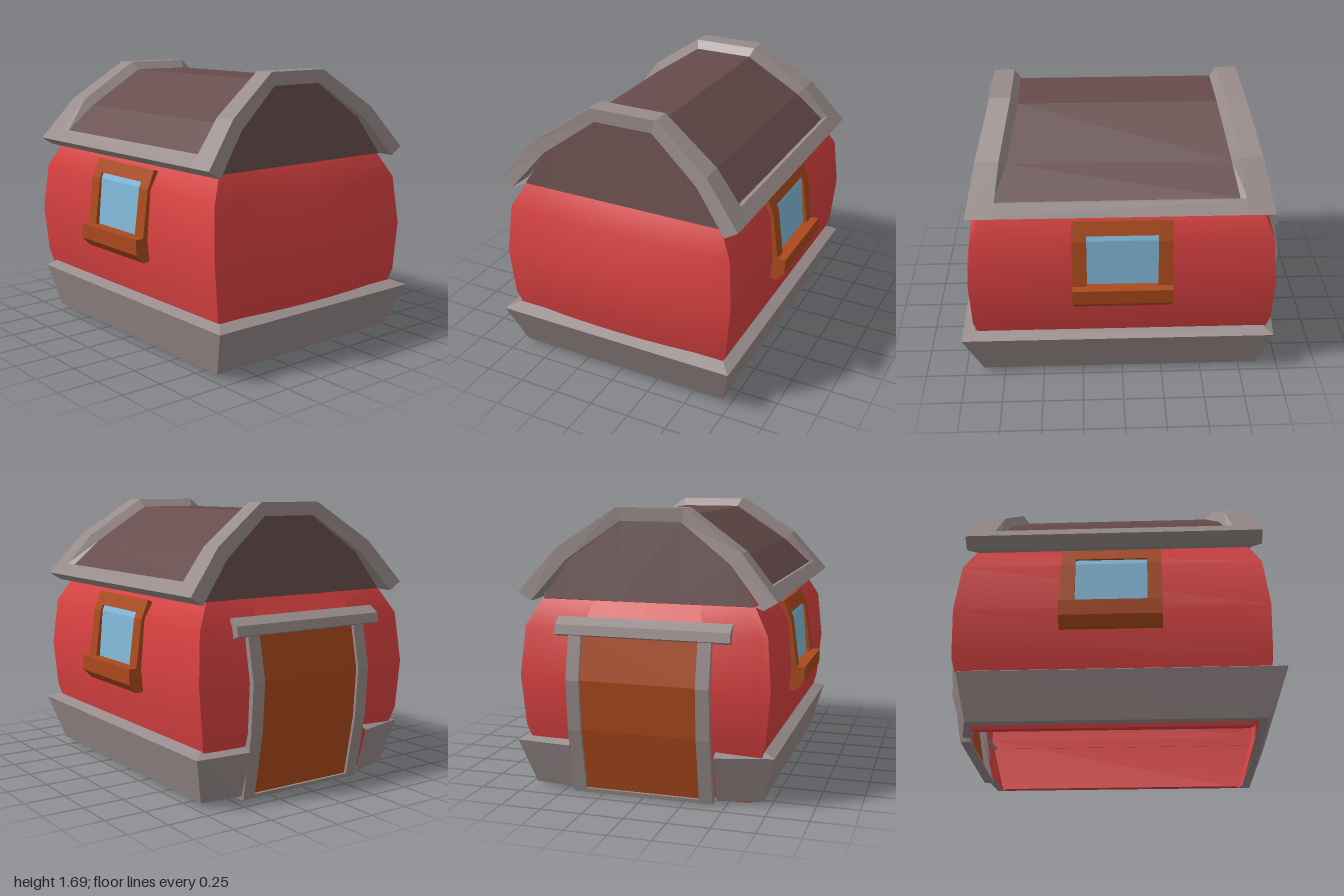
import * as THREE from 'three';

const mat = (name, color) => {
  const m = new THREE.MeshStandardMaterial({ color, side: THREE.DoubleSide });
  m.name = name;
  return m;
};

// Surface lofted through rows of [x, y, z] points
function loft(rows, smooth = false) {
  const n = rows[0].length, index = [];
  for (let i = 0; i < rows.length - 1; i++) {
    for (let j = 0; j < n - 1; j++) {
      const a = i * n + j, b = a + 1, c = a + n, d = c + 1;
      index.push(a, c, b, b, c, d);
    }
  }
  let g = new THREE.BufferGeometry();
  g.setAttribute('position', new THREE.Float32BufferAttribute(rows.flat(2), 3));
  g.setIndex(index);
  if (!smooth) g = g.toNonIndexed();
  g.computeVertexNormals();
  return g;
}

// Prism from an (x, y) profile, running along z
function prismZ(profile, z0, z1) {
  const s = new THREE.Shape(profile.map(p => new THREE.Vector2(p[0], p[1])));
  return new THREE.ExtrudeGeometry(s, { depth: z1 - z0, bevelEnabled: false }).translate(0, 0, z0);
}

// Prism from a (z, y) profile, running along x
function prismX(profile, x0, x1) {
  return prismZ(profile.map(([z, y]) => [-z, y]), x0, x1).rotateY(Math.PI / 2);
}

function add(parent, name, geometry, material) {
  const m = new THREE.Mesh(geometry, material);
  m.name = name;
  parent.add(m);
  return m;
}

function group(parent, name) {
  const g = new THREE.Group();
  g.name = name;
  parent.add(g);
  return g;
}

// Wall levels: [y, half width at corner, half depth, bulge of the end walls]
const LEVELS = [
  [0, 0.81, 0.63, 0.03], [0.4, 0.925, 0.73, 0.035], [0.7, 0.932, 0.757, 0.048],
  [1.0, 0.9, 0.73, 0.015], [1.15, 0.835, 0.645, 0],
];

function endWall(side, u0, u1, levels) {
  return loft(levels.map(([y, w, d, b]) => {
    const row = [];
    for (let i = 0; i <= 8; i++) {
      const u = u0 + (u1 - u0) * i / 8;
      row.push([side * (w + b * (1 - u * u)), y, u * d]);
    }
    return row;
  }), true);
}

function buildWalls(root, red) {
  const walls = group(root, 'walls');
  for (const s of [1, -1]) {
    add(walls, s > 0 ? 'frontWall' : 'backWall',
      loft(LEVELS.map(([y, w, d]) => [[-w, y, s * d], [w, y, s * d]]), true), red);
    // Rim turned inward along the open bottom
    add(walls, 'bottomRim', loft([[[-0.81, 0, s * 0.63], [0.81, 0, s * 0.63]],
      [[-0.78, 0, s * 0.585], [0.78, 0, s * 0.585]]]), red);
    // End wall beside the doorway
    add(walls, 'doorwayWall', endWall(-1, s * 0.5, s, LEVELS), red);
  }
  add(walls, 'plainEndWall', endWall(1, -1, 1, LEVELS), red);
  add(walls, 'wallAboveDoor', endWall(-1, -0.5, 0.5, LEVELS.slice(3)), red);
}

function buildBase(root, stone) {
  // Per corner: bottom x, z, top x, z, inner x, z
  const corners = [
    [-0.89, 0.44, -0.972, 0.44, -0.91, 0.44], [-0.83, 0.7, -0.885, 0.775, -0.86, 0.71],
    [0.885, 0.7, 1.0, 0.775, 0.92, 0.71], [0.885, -0.7, 1.0, -0.78, 0.92, -0.71],
    [-0.86, -0.7, -0.945, -0.78, -0.88, -0.71], [-0.89, -0.44, -0.972, -0.44, -0.91, -0.44],
  ];
  add(root, 'foundationBand', loft(corners.map(([bx, bz, tx, tz, ix, iz]) => [
    [bx * 0.94, 0.02, bz * 0.92], [bx, 0.02, bz], [tx, 0.3, tz], [ix, 0.33, iz],
  ])), stone);
}

function buildRoof(root, stone, slate) {
  const roof = group(root, 'roof');
  roof.position.x = 0.012;
  // Half arch from eave to ridge as [z, y]
  const outer = [[0.78, 1.19], [0.56, 1.45], [0.21, 1.69]];
  const under = [[0.7, 1.14], [0.5, 1.38], [0.185, 1.61]];
  const lip = [[0.72, 1.26], [0.56, 1.45], [0.21, 1.69]];
  const panel = [[0.69, 1.25], [0.525, 1.41], [0.19, 1.64]];
  const xOut = [0.9, 0.84, 0.765], xIn = [0.74, 0.7, 0.64], xPanel = [0.7, 0.66, 0.6];
  // Visits the arch stations from the front eave to the back eave
  const arch = fn => [[0, 1], [1, 1], [2, 1], [2, -1], [1, -1], [0, -1]].map(([i, s]) => fn(i, s));
  const at = (x, p, s) => [x, p[1], s * p[0]];

  add(roof, 'roofPanel', loft(arch((i, s) =>
    [at(-xPanel[i], panel[i], s), at(xPanel[i], panel[i], s)])), slate);

  for (const e of [1, -1]) {
    add(roof, 'gableTrim', loft(arch((i, s) => [
      at(e * xIn[i], under[i], s), at(e * xOut[i], under[i], s),
      at(e * xOut[i], outer[i], s), at(e * xIn[i], outer[i], s)])), stone);
    add(roof, 'gableTrimBevel', loft(arch((i, s) =>
      [at(e * xIn[i], lip[i], s), at(e * xPanel[i], panel[i], s)])), stone);
    // Gable leaning inward under the trim
    add(roof, 'gable', loft(arch((i, s) => {
      const z = i ? under[i][0] : 0.645, y = i ? under[i][1] : 1.16;
      return [[e * 0.835, 1.15, s * z], [e * (0.835 - (y - 1.15) * 0.2), y, s * z]];
    })), slate);
    // Eave strip with its fascia and soffit
    const section = [[0.83, 0.64, 1.15], [0.9, 0.7, 1.14], [0.9, 0.78, 1.19],
      [0.74, 0.72, 1.26], [0.7, 0.69, 1.25]];
    add(roof, 'eaveTrim', loft(section.map(([x, z, y]) =>
      [[-x, y, e * z], [x, y, e * z]])), stone);
  }
}

function buildWindow(root, name, wood, glass) {
  const w = group(root, name);
  const side = [[0.79, 0.7], [0.75, 1.0], [0.703, 1.115], [0.655, 1.095], [0.71, 1.0], [0.74, 0.7]];
  const top = [[0.737, 1.035], [0.703, 1.115], [0.655, 1.095], [0.69, 1.035]];
  const sill = [[0.74, 0.71], [0.84, 0.71], [0.838, 0.615], [0.785, 0.56], [0.735, 0.565]];
  add(w, 'leftJamb', prismX(side, 0.215, 0.302), wood);
  add(w, 'rightJamb', prismX(side, -0.302, -0.215), wood);
  add(w, 'head', prismX(top, -0.215, 0.215), wood);
  add(w, 'sill', prismX(sill, -0.302, 0.302), wood);
  add(w, 'pane', loft([[0.71, 0.764], [1.0, 0.738], [1.04, 0.72]].map(([y, z]) =>
    [[-0.22, y, z], [0.22, y, z]])), glass);
  return w;
}

function buildDoor(root, stone, wood) {
  const door = group(root, 'door');
  const edge = [[-0.905, 0], [-0.98, 0.4], [-1.0, 0.7], [-0.945, 0.97]];
  const jamb = [...edge, ...edge.map(([x, y]) => [x + 0.06, y]).reverse()];
  add(door, 'doorJamb', prismZ(jamb, 0.34, 0.42), stone);
  add(door, 'doorJamb', prismZ(jamb, -0.44, -0.36), stone);
  add(door, 'threshold', prismZ([[-0.905, 0], [-0.909, 0.025], [-0.855, 0.025], [-0.845, 0]],
    -0.36, 0.34), stone);
  add(door, 'doorPanel', loft(edge.map(([x, y]) =>
    [[x + 0.018, y, -0.37], [x + 0.018, y, 0.35]])), wood);
  add(door, 'lintel', prismZ([[-0.965, 0.965], [-0.952, 1.02], [-0.89, 1.06],
    [-0.86, 1.0], [-0.9, 0.94]], -0.52, 0.53), stone);
}

export function createModel() {
  const red = mat('red wall', 0xd94141);
  const stone = mat('grey stone', 0x978b8a);
  const slate = mat('brown slate', 0x664b4b);
  const wood = mat('orange wood', 0xab4a1d);
  const glass = mat('blue glass', 0x80b8d8);

  const root = new THREE.Group();
  root.name = 'house';
  buildWalls(root, red);
  buildBase(root, stone);
  buildRoof(root, stone, slate);
  buildWindow(root, 'frontWindow', wood, glass);
  buildWindow(root, 'backWindow', wood, glass).rotation.y = Math.PI;
  buildDoor(root, stone, wood);
  return root;
}
